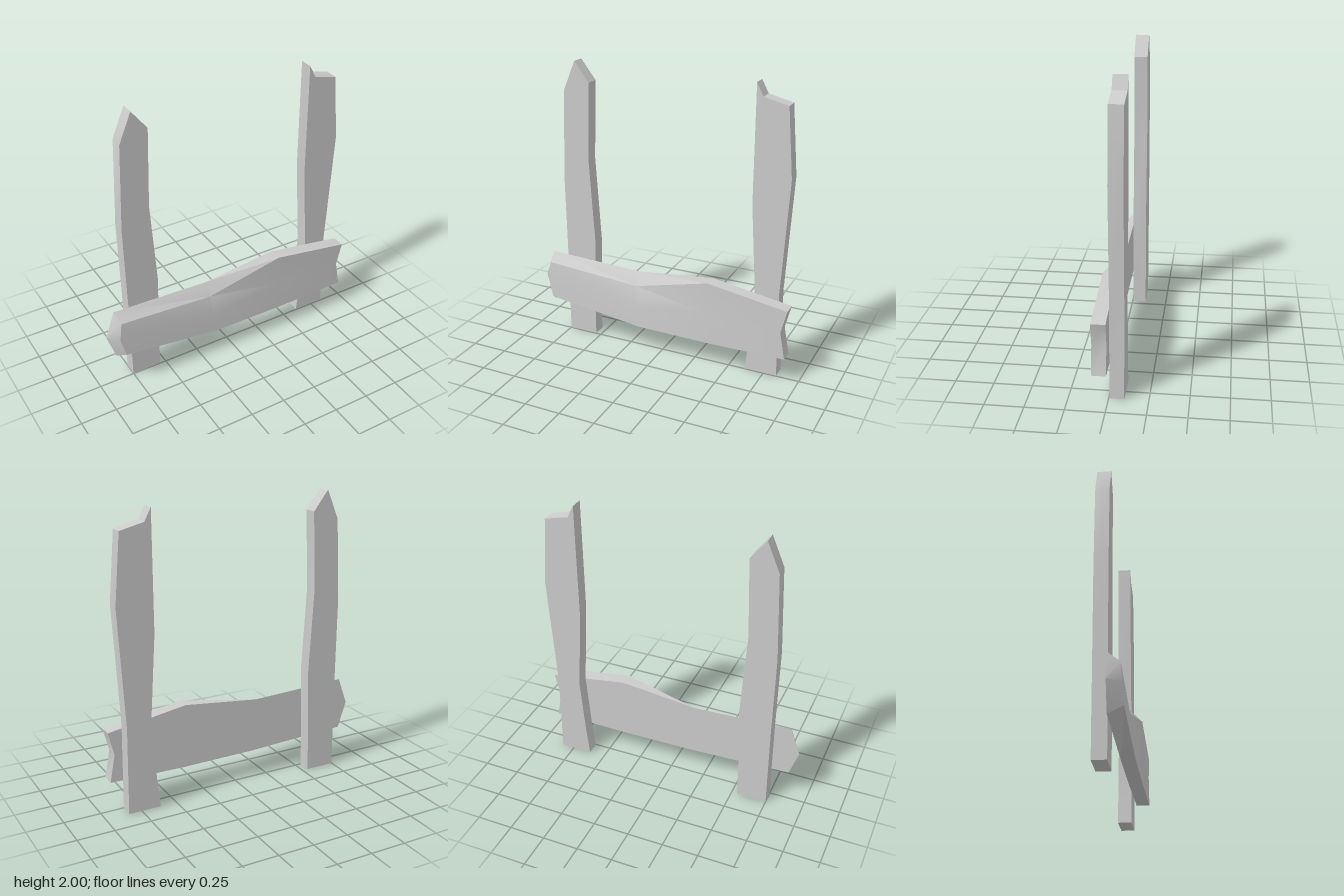
import * as THREE from 'three';
import { toCreasedNormals } from 'three/addons/utils/BufferGeometryUtils.js';

const grey = new THREE.MeshStandardMaterial({ color: 0xcccccc });
const BACK = 0.005, FRONT = 0.097;

function addPart(group, name, geometry) {
  const mesh = new THREE.Mesh(toCreasedNormals(geometry, 0.5), grey);
  mesh.name = name;
  group.add(mesh);
  return mesh;
}

// Upright board: a hewn outline extruded to the board's thickness
function postGeometry(outline) {
  const shape = new THREE.Shape(outline.map(([x, y]) => new THREE.Vector2(x, y)));
  const geo = new THREE.ExtrudeGeometry(shape, { depth: FRONT - BACK, bevelEnabled: false });
  return geo.translate(0, 0, -FRONT);
}

// Cross board: six-point sections, joined from left to right and capped.
// Section order: back top, front top, front middle, front bottom, back bottom, back middle
function railGeometry(sections) {
  const positions = [];
  const quad = (a, b, c, d) => positions.push(...a, ...b, ...c, ...a, ...c, ...d);
  for (let s = 0; s < sections.length - 1; s++) {
    const a = sections[s], b = sections[s + 1];
    for (let i = 0; i < 6; i++) {
      const j = (i + 1) % 6;
      quad(a[i], a[j], b[j], b[i]);
    }
  }
  const l = sections[0], r = sections[sections.length - 1];
  quad(l[5], l[2], l[1], l[0]);
  quad(l[4], l[3], l[2], l[5]);
  quad(r[0], r[1], r[2], r[5]);
  quad(r[5], r[2], r[3], r[4]);
  const geo = new THREE.BufferGeometry();
  geo.setAttribute('position', new THREE.Float32BufferAttribute(positions, 3));
  geo.computeVertexNormals();
  return geo;
}

export function createModel() {
  const model = new THREE.Group();
  model.name = 'brokenFence';

  // Pointed post
  addPart(model, 'rightPost', postGeometry([
    [-0.75, 0], [-0.54, 0], [-0.54, 0.2], [-0.525, 0.73], [-0.56, 1.32],
    [-0.54, 1.865], [-0.645, 2], [-0.73, 1.8], [-0.757, 1.2], [-0.75, 0.6],
  ]));

  // Post with a splintered top
  addPart(model, 'leftPost', postGeometry([
    [0.615, 0], [0.84, 0], [0.832, 0.6], [0.875, 1.4], [0.835, 1.865],
    [0.67, 1.905], [0.625, 1.99], [0.625, 1.2], [0.665, 0.6], [0.635, 0.2],
  ]));

  // Cross board, chipped away at its right end
  addPart(model, 'crossBoard', railGeometry([
    [[-0.862, 0.6, BACK], [-0.845, 0.545, 0.08], [-0.865, 0.415, 0.09],
      [-0.83, 0.285, FRONT], [-0.868, 0.225, BACK], [-0.93, 0.41, BACK]],
    [[-0.17, 0.575, BACK], [-0.17, 0.49, 0.065], [-0.16, 0.34, 0.09],
      [-0.14, 0.195, FRONT], [-0.14, 0.195, BACK], [-0.15, 0.38, BACK]],
    [[0.37, 0.637, BACK], [0.37, 0.637, FRONT], [0.38, 0.41, FRONT],
      [0.4, 0.19, FRONT], [0.4, 0.19, BACK], [0.38, 0.41, BACK]],
    [[0.925, 0.55, BACK], [0.925, 0.55, FRONT], [0.885, 0.39, FRONT],
      [0.92, 0.2, FRONT], [0.92, 0.2, BACK], [0.885, 0.39, BACK]],
  ]));

  return model;
}
